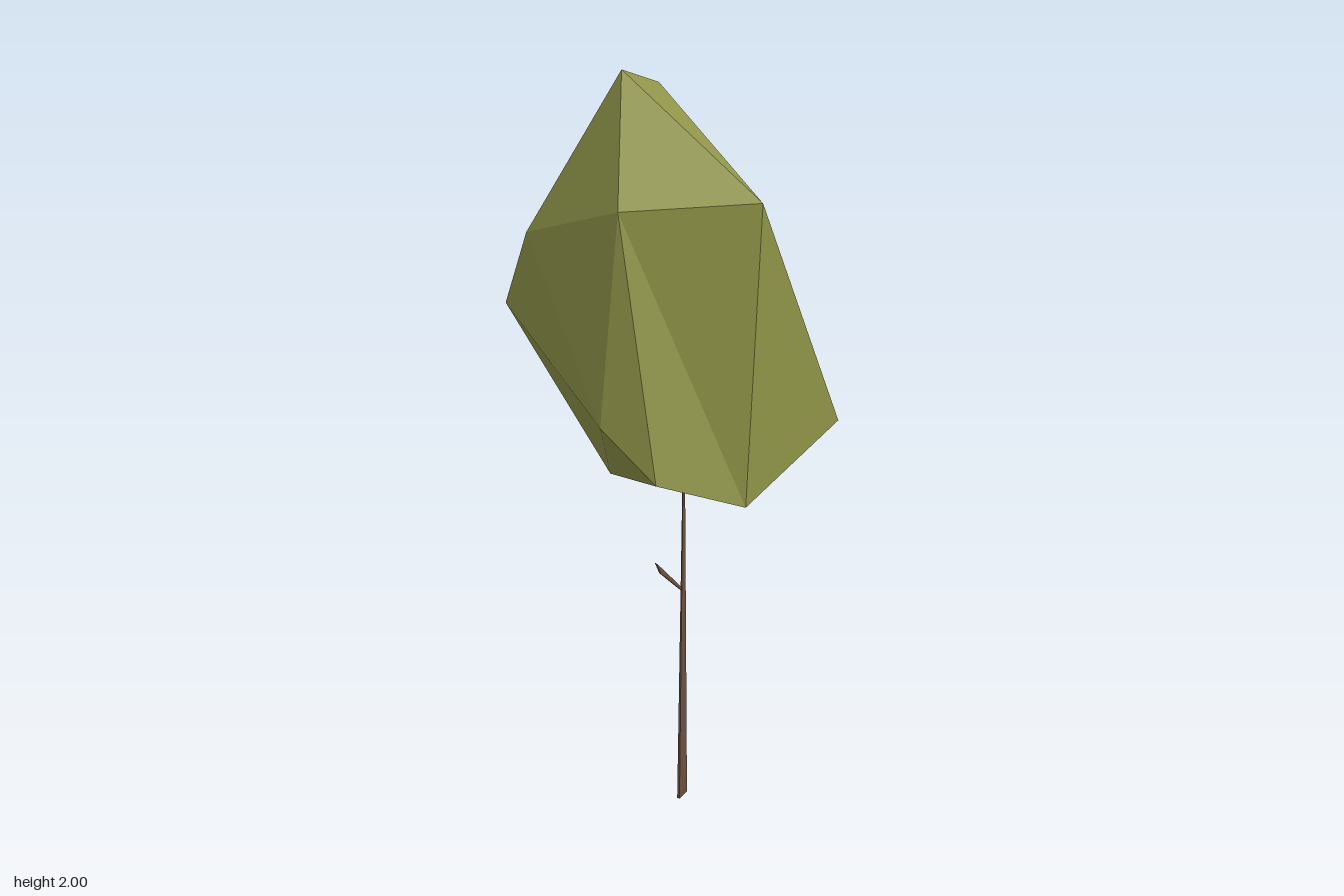
import * as THREE from 'three';

const leafMaterial = new THREE.MeshStandardMaterial({ color: 0x8f9448 });
leafMaterial.name = 'leafGreen';
leafMaterial.flatShading = true;
const barkMaterial = new THREE.MeshStandardMaterial({ color: 0x6a513d });
barkMaterial.name = 'barkBrown';
barkMaterial.flatShading = true;

// Corners of the faceted crown
const corners = {
  E: [-0.045, 2.0, -0.06], F: [0.06, 1.95, -0.03],                             // peak ridge
  B: [-0.18, 1.59, -0.25], C: [0.25, 1.755, -0.21], D: [0.335, 1.75, -0.12],   // rear shoulder
  H: [-0.285, 1.75, 0.115], K: [-0.09, 1.775, 0.385],                          // front shoulder
  S: [0.015, 1.59, -0.21], M: [0.31, 1.41, -0.05], N: [0.14, 1.5, 0.23],       // hollows
  A: [-0.103, 1.35, -0.387], G: [-0.338, 1.22, 0.10],                          // waist
  I: [-0.31, 1.10, 0.245], J: [-0.14, 1.02, 0.385], L: [0.29, 1.09, 0.36],     // lower rim
  Q: [0.2, 1.04, -0.19], O: [0.25, 0.93, 0.22], P: [-0.01, 0.915, -0.13],      // underside
};
const facets = 'EFC FDC ECB EBH EHK EKF FKN NKL FND DNM NLM DMC CMS CSB BSA ASQ ' +
  'SMQ MLQ QLO QOP LKJ LJO OJP PJI QPA APG PIG AGB BGH HGI HIJ HJK';

function makeCrown() {
  const points = [...facets.replaceAll(' ', '')].flatMap((name) => corners[name]);
  const geometry = new THREE.BufferGeometry();
  geometry.setAttribute('position', new THREE.Float32BufferAttribute(points, 3));
  geometry.computeVertexNormals();
  return new THREE.Mesh(geometry, leafMaterial);
}

// Thin plank that narrows towards the top
function makeTrunk() {
  const height = 1.0;
  const geometry = new THREE.BoxGeometry(0.042, height, 0.007);
  geometry.translate(0, height / 2, 0);
  const p = geometry.attributes.position;
  for (let i = 0; i < p.count; i++) {
    const taper = 1 - 0.8 * (p.getY(i) / height);
    p.setX(i, p.getX(i) * taper);
    p.setZ(i, p.getZ(i) * taper);
  }
  geometry.computeVertexNormals();
  const trunk = new THREE.Mesh(geometry, barkMaterial);
  trunk.position.set(0.053, 0, 0.056);
  trunk.rotation.y = 0.15;
  return trunk;
}

// Small blade-like twig
function makeTwig() {
  const outline = [[0.046, 0.615], [0.046, 0.624], [-0.04, 0.715], [-0.063, 0.738], [-0.045, 0.702]];
  const shape = new THREE.Shape(outline.map(([x, y]) => new THREE.Vector2(x, y)));
  const geometry = new THREE.ExtrudeGeometry(shape, { depth: 0.005, bevelEnabled: false });
  const twig = new THREE.Mesh(geometry, barkMaterial);
  twig.position.z = 0.053;
  return twig;
}

export function createModel() {
  const tree = new THREE.Group();
  tree.name = 'tree';
  const parts = { crown: makeCrown(), trunk: makeTrunk(), twig: makeTwig() };
  for (const [name, part] of Object.entries(parts)) {
    part.name = name;
    tree.add(part);
  }
  return tree;
}
